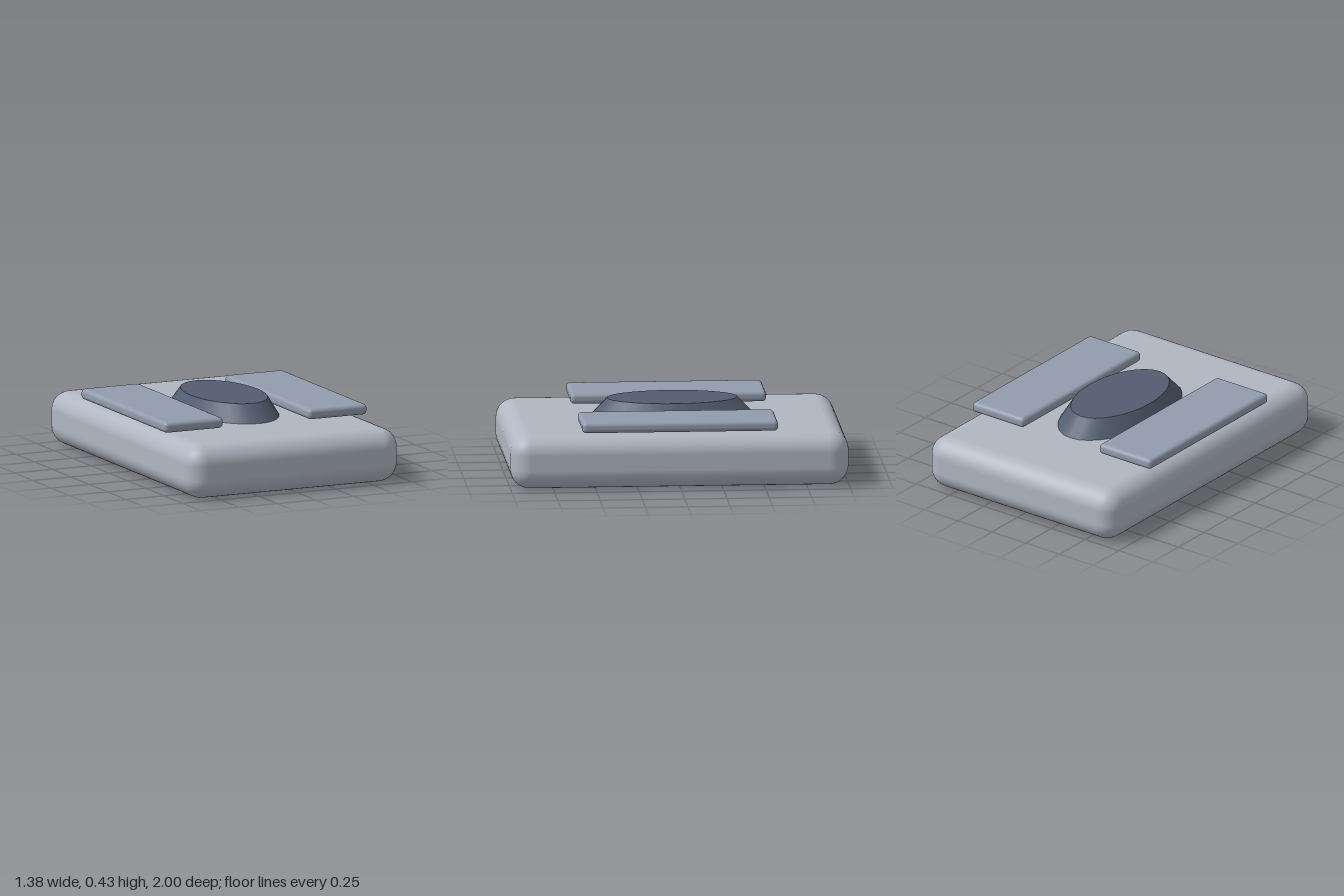
import * as THREE from 'three';
import { RoundedBoxGeometry } from 'three/addons/geometries/RoundedBoxGeometry.js';

export function createModel() {
  const model = new THREE.Group();
  model.name = 'device';

  const add = (name, geometry, color, x, y, z) => {
    const mesh = new THREE.Mesh(geometry, new THREE.MeshStandardMaterial({ color }));
    mesh.name = name;
    mesh.position.set(x, y, z);
    model.add(mesh);
    return mesh;
  };

  // Main slab with generously rounded edges
  add('body', new RoundedBoxGeometry(1.384, 0.322, 2, 5, 0.115), 0xb0b7c2, 0, 0.161, 0);

  // Tapered oval knob standing on the slab
  const knob = new THREE.CylinderGeometry(0.22, 0.278, 0.104, 32);
  knob.scale(1, 1, 1.75);
  add('ovalKnob', knob, 0x525d70, 0, 0.373, 0);

  // Thin side plates hovering just above the slab
  for (const [name, side] of [['leftPlate', 1], ['rightPlate', -1]]) {
    add(name, new RoundedBoxGeometry(0.385, 0.064, 1.158, 4, 0.025), 0x929cad, side * 0.47, 0.367, 0);
  }

  return model;
}
